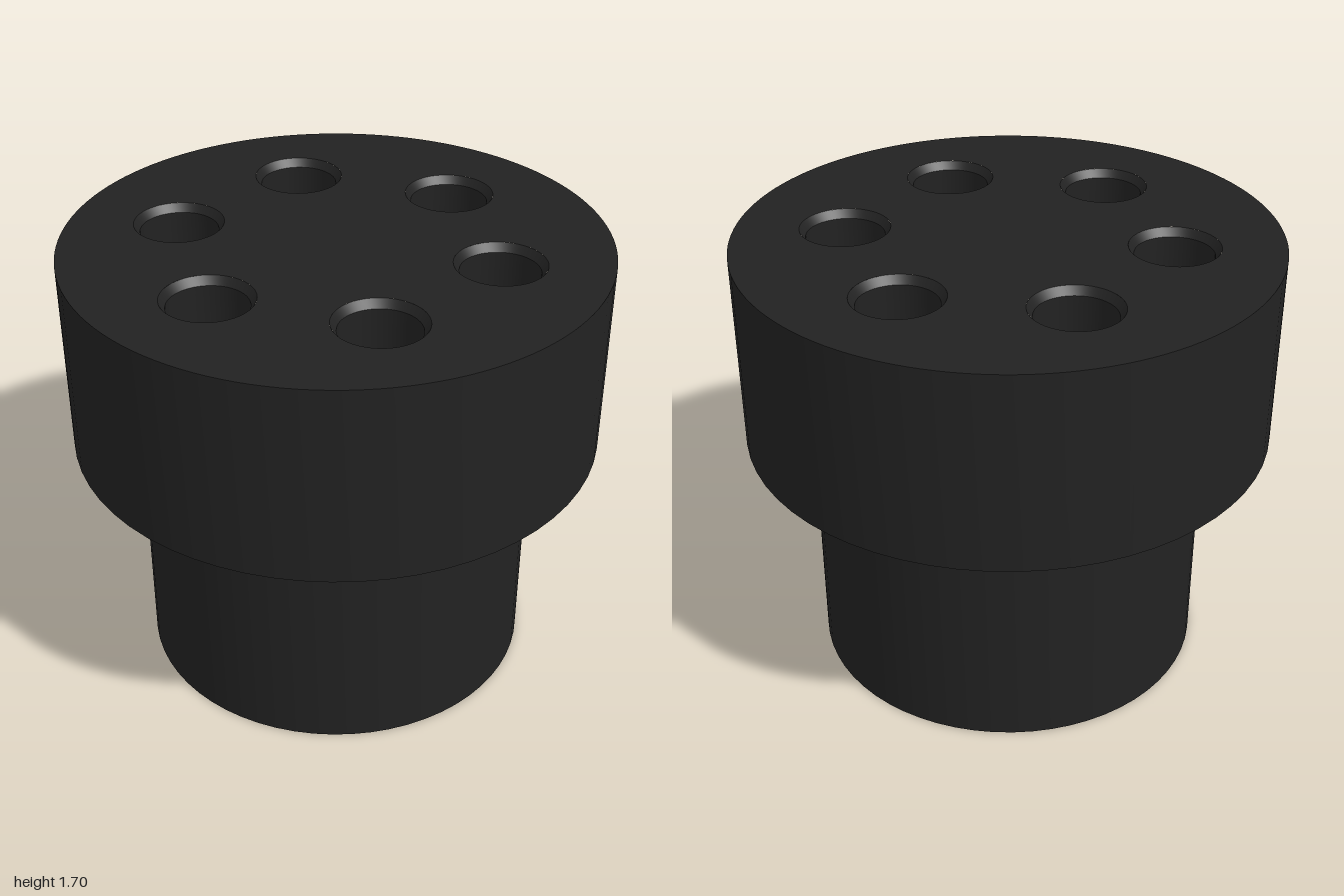
import * as THREE from 'three';
import { toCreasedNormals } from 'three/addons/utils/BufferGeometryUtils.js';

const SEG = 64;
const HEIGHT = 1.7;
const material = new THREE.MeshStandardMaterial({ color: 0x222222 });

function addMesh(parent, name, geometry) {
  const mesh = new THREE.Mesh(geometry, material);
  mesh.name = name;
  parent.add(mesh);
  return mesh;
}

// Revolved profile with crisp edges
function revolve(profile) {
  const points = profile.map(([r, y]) => new THREE.Vector2(r, y));
  return toCreasedNormals(new THREE.LatheGeometry(points, SEG), 0.5);
}

// Evenly spaced hole centres on a circle
function ringOf(count, radius, start) {
  return Array.from({ length: count }, (_, i) => {
    const a = start + (i * Math.PI * 2) / count;
    return [radius * Math.cos(a), radius * Math.sin(a)];
  });
}

// Flat disc pierced by round holes, each { at: [x, z], r }
function piercedDisc(radius, holes) {
  const shape = new THREE.Shape().absarc(0, 0, radius, 0, Math.PI * 2);
  for (const { at, r } of holes) {
    shape.holes.push(new THREE.Path().absarc(at[0], at[1], r, 0, Math.PI * 2, true));
  }
  return new THREE.ShapeGeometry(shape, SEG);
}

export function createModel() {
  const model = new THREE.Group();
  model.name = 'steppedCylinder';

  // Narrow lower barrel, shoulder and wide head
  addMesh(model, 'body', revolve([[0.75, 0], [0.75, 0.95], [1, 0.95], [1, HEIGHT]]));

  // Six chamfered chambers in the head
  const chambers = ringOf(6, 0.6, Math.PI / 6);
  const chamberRim = 0.167;
  const top = addMesh(model, 'topFace', piercedDisc(1, chambers.map((at) => ({ at, r: chamberRim }))));
  top.rotation.x = -Math.PI / 2;
  top.position.y = HEIGHT;
  const chamber = revolve([[chamberRim, HEIGHT], [0.145, HEIGHT - 0.03], [0.145, HEIGHT - 0.6], [0, HEIGHT - 0.6]]);
  for (const [x, z] of chambers) addMesh(model, 'chamber', chamber).position.set(x, 0, z);

  // Central bore and four chamfered holes in the underside
  const pins = ringOf(4, 0.4, 0);
  const pinRim = 0.12;
  const boreRadius = 0.167;
  const holes = pins.map((at) => ({ at, r: pinRim }));
  holes.push({ at: [0, 0], r: boreRadius });
  addMesh(model, 'bottomFace', piercedDisc(0.75, holes)).rotation.x = Math.PI / 2;
  addMesh(model, 'centreBore', revolve([[0, 0.6], [boreRadius, 0.6], [boreRadius, 0]]));
  const pinHole = revolve([[0, 0.4], [0.1, 0.4], [0.1, 0.03], [pinRim, 0]]);
  for (const [x, z] of pins) addMesh(model, 'pinHole', pinHole).position.set(x, 0, z);

  return model;
}
